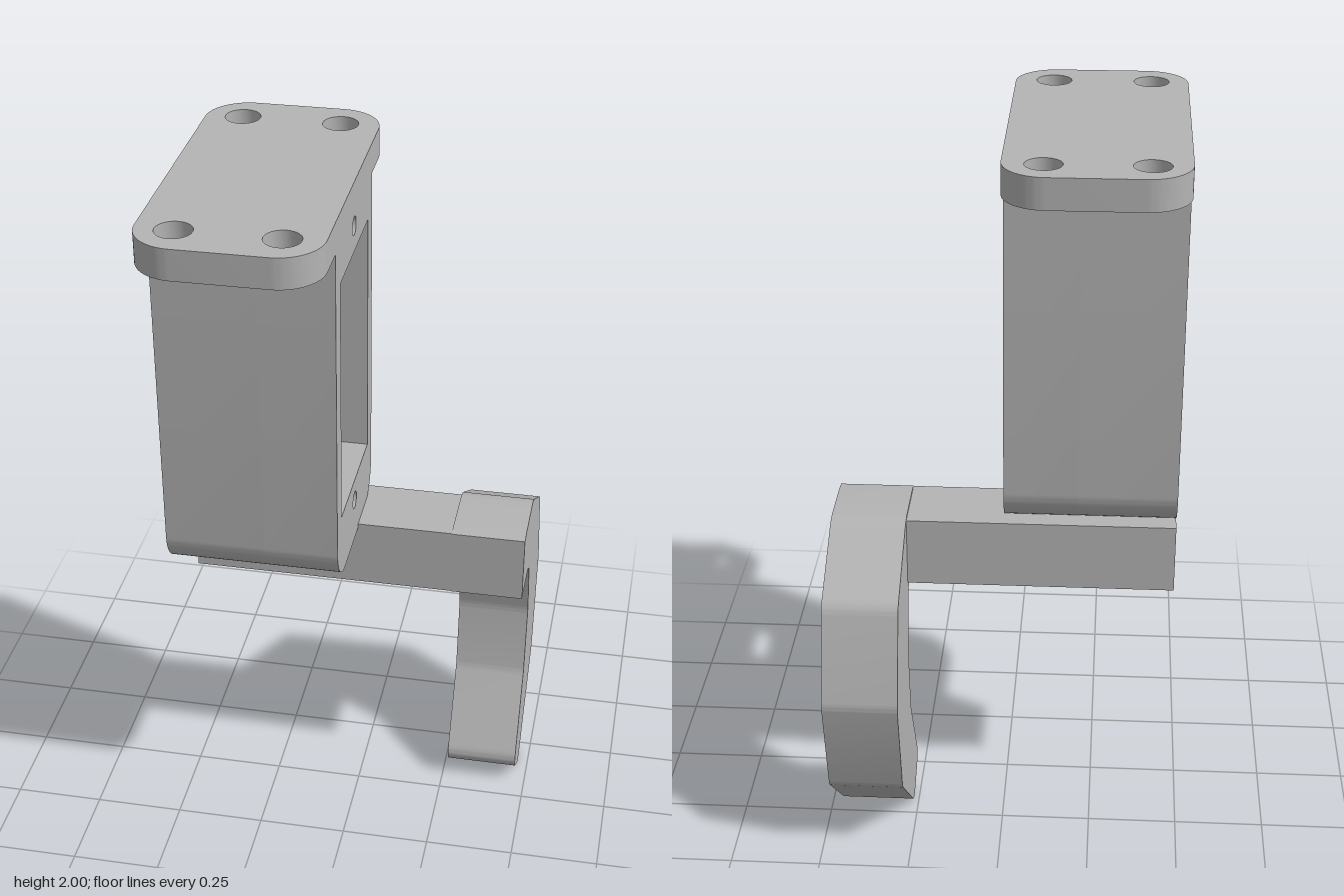
import * as THREE from 'three';
import { toCreasedNormals } from 'three/addons/utils/BufferGeometryUtils.js';

const grey = new THREE.MeshStandardMaterial({ color: 0xb4b4b4 });
grey.name = 'plain grey';

// Rectangle with separate radii for its bottom and top corners
function roundedRect(x0, y0, x1, y1, rBottom, rTop) {
  const s = new THREE.Shape();
  s.moveTo(x0 + rBottom, y0);
  s.lineTo(x1 - rBottom, y0);
  if (rBottom) s.absarc(x1 - rBottom, y0 + rBottom, rBottom, -Math.PI / 2, 0);
  s.lineTo(x1, y1 - rTop);
  if (rTop) s.absarc(x1 - rTop, y1 - rTop, rTop, 0, Math.PI / 2);
  s.lineTo(x0 + rTop, y1);
  if (rTop) s.absarc(x0 + rTop, y1 - rTop, rTop, Math.PI / 2, Math.PI);
  s.lineTo(x0, y0 + rBottom);
  if (rBottom) s.absarc(x0 + rBottom, y0 + rBottom, rBottom, Math.PI, Math.PI * 1.5);
  return s;
}

function addHole(shape, x, y, r) {
  const p = new THREE.Path();
  p.absarc(x, y, r, 0, Math.PI * 2, true);
  shape.holes.push(p);
}

function extrude(shape, depth) {
  return new THREE.ExtrudeGeometry(shape, { depth, bevelEnabled: false, curveSegments: 12 });
}

// Side profile drawn as (-z, y), extruded from x0 to x1
function sideways(shape, x0, x1) {
  return extrude(shape, x1 - x0).rotateY(Math.PI / 2).translate(x0, 0, 0);
}

function mesh(name, geometry) {
  const m = new THREE.Mesh(toCreasedNormals(geometry, 0.5), grey);
  m.name = name;
  return m;
}

// Closed outline whose corners [x, y, cut] are rounded by the distance cut
function roundedOutline(points) {
  const s = new THREE.Shape();
  const n = points.length;
  points.forEach(([x, y, cut = 0], i) => {
    const c = new THREE.Vector2(x, y);
    const toward = (q) => new THREE.Vector2(q[0], q[1]).sub(c).setLength(cut).add(c);
    const a = toward(points[(i + n - 1) % n]);
    const b = toward(points[(i + 1) % n]);
    if (i === 0) s.moveTo(a.x, a.y);
    else s.lineTo(a.x, a.y);
    if (cut) s.quadraticCurveTo(x, y, b.x, b.y);
  });
  s.closePath();
  return s;
}

export function createModel() {
  const model = new THREE.Group();

  // Mounting plate with four bolt holes
  const plate = roundedRect(-0.47, -0.513, 0, 0.4, 0.115, 0.115);
  for (const x of [-0.37, -0.105]) {
    for (const y of [0.3, -0.41]) addHole(plate, x, y, 0.048);
  }
  model.add(mesh('mountingPlate', extrude(plate, 0.083).rotateX(-Math.PI / 2).translate(0, 1.917, 0)));

  // Open housing; the screw holes only reach part way in from its left face
  const housing = new THREE.Group();
  housing.name = 'housing';
  const frame = (screws) => {
    const s = roundedRect(-0.305, 0.93, 0.19, 1.917, 0.11, 0);
    s.holes.push(new THREE.Path([[-0.245, 1.12], [-0.245, 1.81], [0.13, 1.81], [0.13, 1.12]]
      .map(([x, y]) => new THREE.Vector2(x, y))));
    if (screws) for (const y of [1.055, 1.88]) addHole(s, -0.06, y, 0.025);
    return s;
  };
  housing.add(mesh('housingBody', sideways(frame(false), -0.47, -0.2)));
  housing.add(mesh('housingScrewFace', sideways(frame(true), -0.2, 0)));
  model.add(housing);

  // Cross bar under the housing
  const bar = new THREE.BoxGeometry(0.938, 0.195, 0.203).translate(0, 0.8455, -0.0905);
  model.add(mesh('crossBar', bar));

  // Curved finger hook at the end of the bar
  const hook = roundedOutline([
    [-0.013, 0.748], [0.172, 0.748, 0.055], [0.222, 0.54, 0.02], [0.193, 0.33, 0.02],
    [0.045, 0.075, 0.05], [0.175, -0.008, 0.04], [0.445, 0.24, 0.02], [0.513, 0.54, 0.02],
    [0.43, 0.81, 0.025], [0.195, 0.949, 0.03], [0.03, 0.949], [-0.013, 0.943],
  ]);
  model.add(mesh('hook', sideways(hook, 0.265, 0.47)));

  return model;
}
